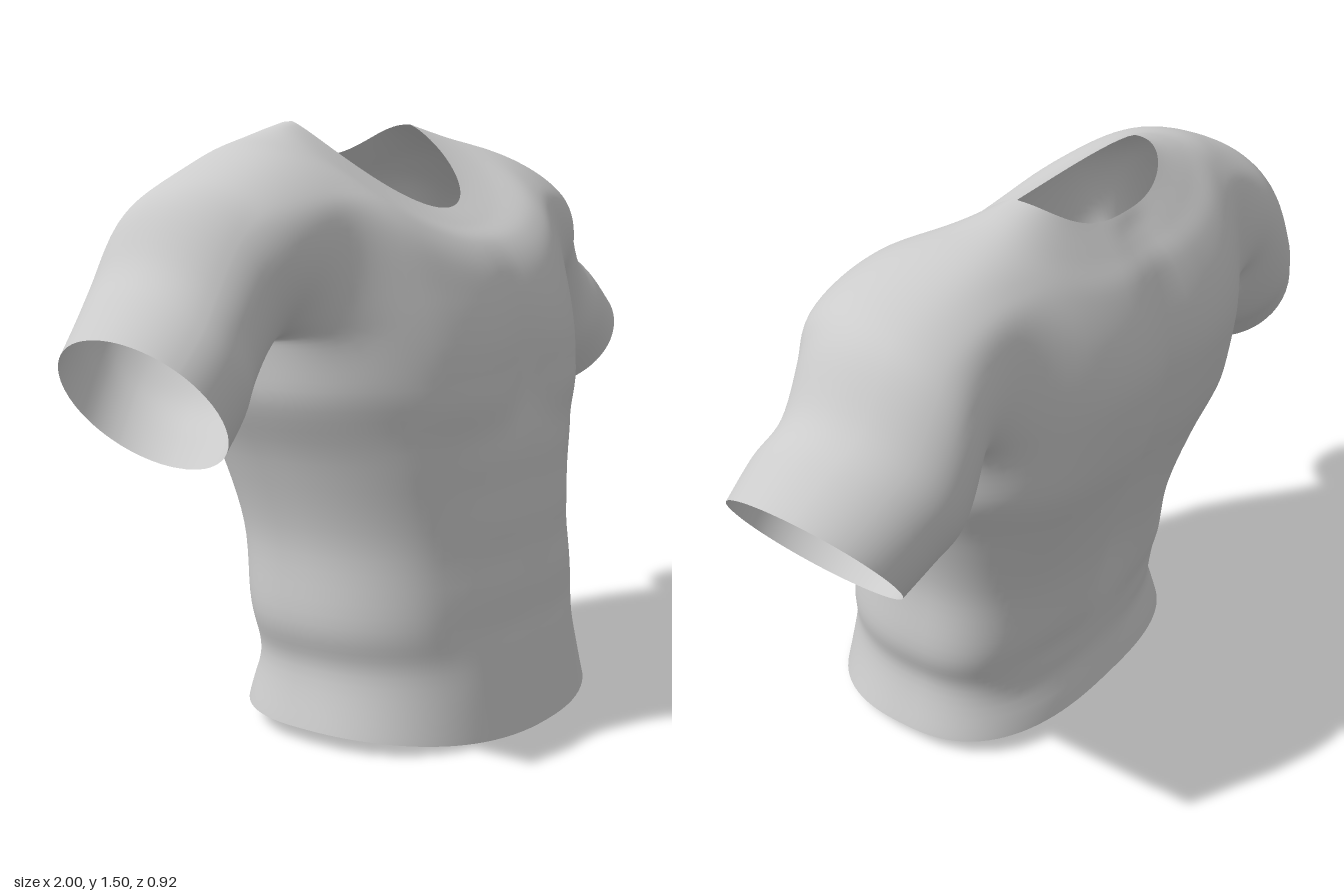
import * as THREE from 'three';

const COLS = 96;   // columns around the torso
const STEPS = 6;   // rows between two key sections
const HOLE = 10;   // half width of an armhole, in columns
const HOLE_ROWS = [6 * STEPS, 9 * STEPS];

// Torso sections: y front, y side, y back, half width, z front, z back
const TORSO = [
  [0.00, 0.04, 0.05, 0.495, 0.46, -0.29],
  [0.18, 0.18, 0.18, 0.455, 0.44, -0.265],
  [0.30, 0.30, 0.30, 0.475, 0.43, -0.28],
  [0.50, 0.50, 0.50, 0.462, 0.42, -0.31],
  [0.70, 0.70, 0.70, 0.505, 0.41, -0.365],
  [0.86, 0.86, 0.86, 0.565, 0.38, -0.42],
  [0.98, 1.00, 1.00, 0.575, 0.375, -0.448],
  [1.07, 1.18, 1.10, 0.575, 0.36, -0.455],
  [1.15, 1.385, 1.20, 0.56, 0.33, -0.435],
  [1.21, 1.447, 1.30, 0.50, 0.28, -0.39],
  [1.25, 1.475, 1.36, 0.38, 0.21, -0.34],
  [1.29, 1.505, 1.42, 0.255, 0.14, -0.285],
];

// Sleeve sections: top x, top y, bottom x, bottom y, z front, z back
const SLEEVE = [
  [0.63, 1.40, 0.575, 0.985, 0.19, -0.36],
  [0.74, 1.325, 0.60, 0.92, 0.14, -0.37],
  [0.83, 1.19, 0.65, 0.84, 0.13, -0.365],
  [0.91, 1.115, 0.71, 0.78, 0.155, -0.335],
  [1.00, 1.035, 0.77, 0.72, 0.16, -0.30],
];

// Catmull-Rom blend of a list of equal-length arrays
function sample(keys, t) {
  const i = Math.min(Math.floor(t), keys.length - 2), f = t - i;
  const k = n => keys[THREE.MathUtils.clamp(n, 0, keys.length - 1)];
  const a = k(i - 1), b = k(i), c = k(i + 1), d = k(i + 2);
  return b.map((_, j) => {
    const m0 = (c[j] - a[j]) / 2, m1 = (d[j] - b[j]) / 2, e = b[j] - c[j];
    return b[j] + f * (m0 + f * (-3 * e - 2 * m0 - m1 + f * (2 * e + m0 + m1)));
  });
}

const bump = (d, w) => Math.exp(-((d / w) ** 2));
const step = (v, a, b) => THREE.MathUtils.smoothstep(v, a, b);
const power = (v, e) => Math.sign(v) * Math.abs(v) ** e;

// Muscle relief: outward push at a point of the chest or the back
function relief(x, y, front) {
  const ax = Math.abs(x);
  if (front) {
    const edge = 0.79 + 0.06 * bump(x, 0.08) + 0.3 * Math.max(0, ax - 0.34);
    const pec = 0.03 * bump(ax - 0.24, 0.22) * step(y, edge - 0.06, edge + 0.07) * (1 - step(y, 0.9, 1.25));
    const cleft = 0.008 * bump(x, 0.05) * step(y, 0.78, 0.95) * (1 - step(y, 1.1, 1.27));
    const grooves = [0.28, 0.45, 0.62].reduce((s, h) => s + bump(y - h, 0.045), 0) * 0.006 * bump(ax - 0.14, 0.15);
    const belly = step(y, 0.1, 0.3) * (1 - step(y, 0.65, 0.8));
    const lines = (0.004 * bump(x, 0.04) + 0.008 * bump(ax - 0.28, 0.06)) * belly;
    return pec - cleft - grooves - lines;
  }
  const spine = 0.028 * bump(x, 0.065) * step(y, 0.2, 0.5) * (1 - 0.6 * step(y, 1.15, 1.4));
  const blade = 0.012 * bump(ax - 0.27, 0.13) * bump(y - 1.12, 0.16);
  const lats = 0.015 * bump(ax - 0.36, 0.12) * bump(y - 0.8, 0.2);
  const folds = 0.009 * (bump(y - 0.15, 0.035) + bump(y - 0.27, 0.045)) * bump(ax - 0.25, 0.2);
  return blade + lats - spine - folds;
}

function torsoPoint(row, col) {
  const t = (col / COLS) * Math.PI * 2;
  const v = row / (STEPS * (TORSO.length - 1));
  const [yf, ys, yb, w, zf, zb] = sample(TORSO, row / STEPS);
  const c = Math.cos(t), s = Math.sin(t), front = s >= 0;
  const neck = step(v, 0.8, 1);
  const e = front ? 0.88 + 0.12 * neck : 0.75;
  const x = w * power(c, e);
  const y = ys + ((front ? yf : yb) - ys) * Math.abs(s) ** (front ? 2 - 0.8 * neck : 2);
  const mid = 0.06 - 0.21 * v;
  const depth = front ? zf - mid : mid - zb;
  const push = relief(x, y, front) * Math.abs(s) * (1 - step(v, 0.93, 1));
  return [x, y, mid + depth * power(s, e) + (front ? push : -push)];
}

// Evens out the cloth where the sleeves meet the torso
function relax(points, index, passes) {
  const near = points.map(() => new Set());
  for (let i = 0; i < index.length; i += 3)
    for (let j = 0; j < 3; j++) {
      const a = index[i + j], b = index[i + (j + 1) % 3];
      near[a].add(b);
      near[b].add(a);
    }
  const weight = points.map(([x, y]) => {
    const ax = Math.abs(x);
    return 0.6 * step(ax, 0.3, 0.44) * (1 - step(ax, 0.6, 0.72)) * step(y, 0.85, 0.97);
  });
  for (let p = 0; p < passes; p++) {
    const old = points.map(q => [...q]);
    points.forEach((q, n) => {
      if (weight[n] === 0) return;
      for (let k = 0; k < 3; k++) {
        let sum = 0;
        for (const m of near[n]) sum += old[m][k];
        q[k] += weight[n] * (sum / near[n].size - old[n][k]);
      }
    });
  }
}

export function createModel() {
  const points = [];
  const parts = { torso: [], leftSleeve: [], rightSleeve: [] };
  const rows = STEPS * (TORSO.length - 1);
  const id = (r, c) => r * COLS + ((c + COLS) % COLS);

  // Torso shell, open at the hem, the neck and both armholes
  for (let r = 0; r <= rows; r++)
    for (let c = 0; c < COLS; c++) points.push(torsoPoint(r, c));
  for (let r = 0; r < rows; r++)
    for (let c = 0; c < COLS; c++) {
      const inRows = r >= HOLE_ROWS[0] && r < HOLE_ROWS[1];
      const nearLeft = c < HOLE || c >= COLS - HOLE;
      const nearRight = c >= COLS / 2 - HOLE && c < COLS / 2 + HOLE;
      if (inRows && (nearLeft || nearRight)) continue;
      const a = id(r, c), b = id(r, c + 1), d = id(r + 1, c), e = id(r + 1, c + 1);
      parts.torso.push(b, a, d, b, d, e);
    }

  // Sleeves, grown from the armhole edge through the sections to the cuff
  const loop = [];
  const [r0, r1] = HOLE_ROWS;
  for (let r = r0; r < r1; r++) loop.push([r, HOLE]);
  for (let c = HOLE; c > -HOLE; c--) loop.push([r1, c]);
  for (let r = r1; r > r0; r--) loop.push([r, -HOLE]);
  for (let c = -HOLE; c < HOLE; c++) loop.push([r0, c]);

  for (const side of [1, -1]) {
    const index = side > 0 ? parts.leftSleeve : parts.rightSleeve;
    const edge = loop.map(([r, c]) => id(r, side > 0 ? c : COLS / 2 - c));
    const paths = edge.map(n => {
      const [x, y, z] = points[n];
      const angle = Math.atan2((z + 0.08) / 0.25, (y - 1.21) / 0.21);
      const u = Math.cos(angle), w = Math.sin(angle);
      const ring = SLEEVE.map(([tx, ty, bx, by, zf, zb]) => [
        side * ((tx + bx) / 2 + ((tx - bx) / 2) * u),
        (ty + by) / 2 + ((ty - by) / 2) * u,
        (zf + zb) / 2 + ((zf - zb) / 2) * w,
      ]);
      return [[x, y, z], ...ring];
    });
    let previous = edge;
    for (let k = 1; k <= SLEEVE.length * STEPS; k++) {
      const current = paths.map(path => points.push(sample(path, k / STEPS)) - 1);
      for (let i = 0; i < edge.length; i++) {
        const j = (i + 1) % edge.length;
        const a = previous[i], b = previous[j], c = current[i], d = current[j];
        if (side > 0) index.push(a, c, b, b, c, d);
        else index.push(a, b, c, b, d, c);
      }
      previous = current;
    }
  }

  // Normals are found on the joined shell so that the seams stay smooth
  const whole = Object.values(parts).flat();
  relax(points, whole, 14);
  const shell = new THREE.BufferGeometry();
  shell.setAttribute('position', new THREE.Float32BufferAttribute(points.flat(), 3));
  shell.setIndex(whole);
  shell.computeVertexNormals();

  const material = new THREE.MeshStandardMaterial({ color: 0xcccccc, side: THREE.DoubleSide });
  const group = new THREE.Group();
  group.name = 'shirt';
  for (const [name, index] of Object.entries(parts)) {
    shell.setIndex(index);
    const mesh = new THREE.Mesh(shell.toNonIndexed(), material);
    mesh.name = name;
    group.add(mesh);
  }
  return group;
}
